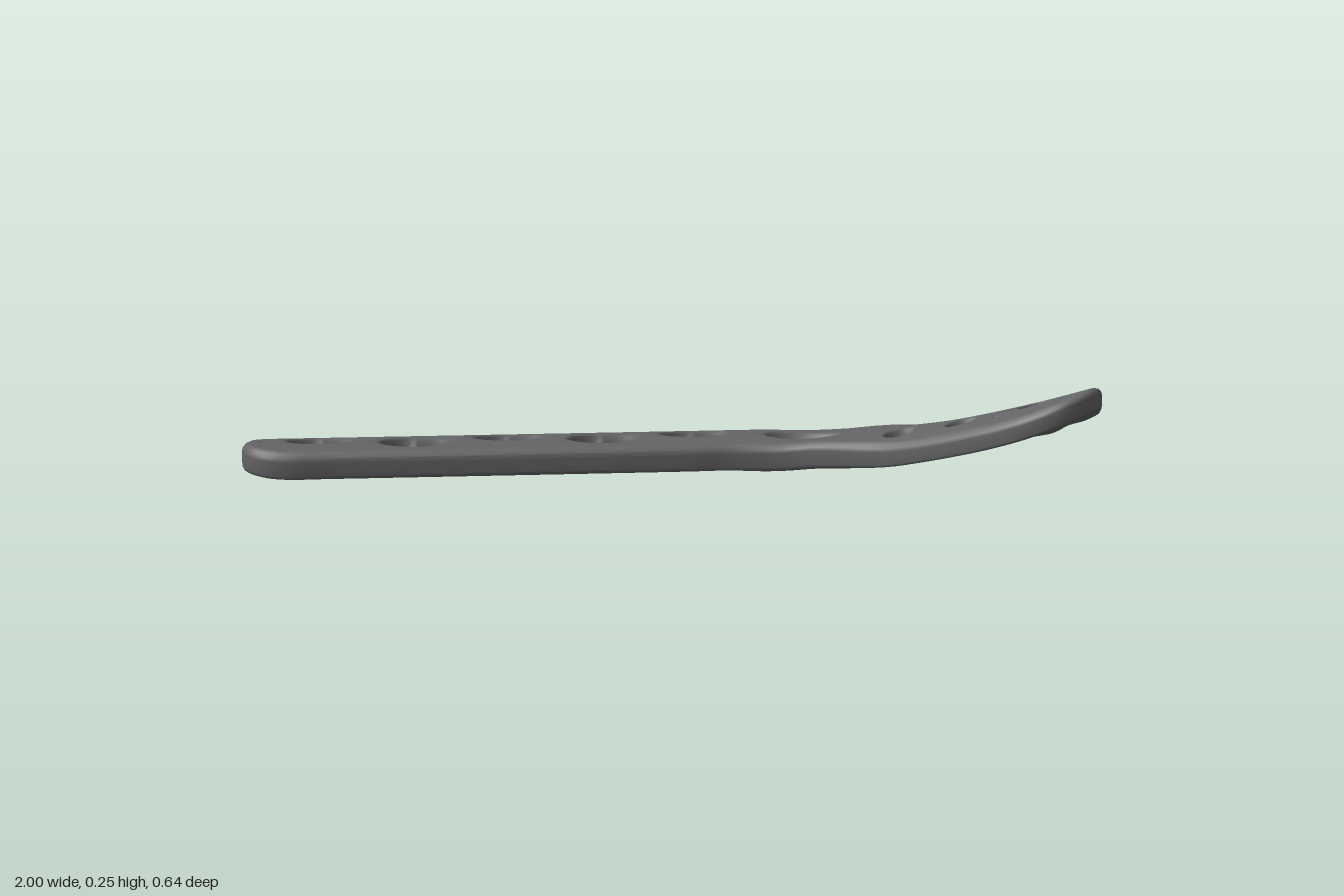
import * as THREE from 'three';
import { mergeVertices } from 'three/addons/utils/BufferGeometryUtils.js';

const THICK = 0.066;
const V3 = (x, y, z) => new THREE.Vector3(x, y, z);
const { lerp, smoothstep } = THREE.MathUtils;

// Plan outline of the plate as x, z pairs: straight shaft, then the flared head
const PLAN = [
  [-1, -0.215], [-0.985, -0.27], [-0.945, -0.305], [-0.89, -0.32], [-0.8, -0.32], [0.1, -0.32], [0.19, -0.32],
  [0.28, -0.31], [0.36, -0.296], [0.43, -0.3], [0.48, -0.29], [0.57, -0.253], [0.67, -0.21], [0.8, -0.168],
  [0.853, -0.125], [0.885, -0.07], [0.935, -0.03], [0.958, 0.04], [0.985, 0.07], [1, 0.12], [0.985, 0.19],
  [0.955, 0.26], [0.92, 0.3], [0.86, 0.318], [0.79, 0.3], [0.72, 0.255], [0.64, 0.185], [0.56, 0.11],
  [0.48, 0.035], [0.4, -0.025], [0.32, -0.075], [0.25, -0.1], [0.16, -0.115], [0.07, -0.115],
  [-0.8, -0.115], [-0.89, -0.115], [-0.945, -0.13], [-0.985, -0.165],
];

// Radius of each hole style as a function of angle
const circle = r => () => r;
const oval = (a, b, n = 2) => t =>
  ((Math.abs(Math.cos(t)) / a) ** n + (Math.abs(Math.sin(t)) / b) ** n) ** (-1 / n);
const doubleRound = (d, r) => t => d * Math.abs(Math.cos(t)) + Math.sqrt(r * r - (d * Math.sin(t)) ** 2);

// A hole is a stack of rings from the underside up to its countersunk mouth
function holeRings({ x, z, inner, outer, turn = 0, slant = 0 }) {
  const stack = [[0, 0, 0.004], [0.005, 0, 0], [0.026, 0, 0], [0.042, 0.62, 0], [0.06, 0.95, 0], [THICK, 1, 0.005]];
  return stack.map(([y, mix, grow]) => {
    const ring = [];
    for (let i = 0; i < 36; i++) {
      const t = (i / 36) * Math.PI * 2;
      const r = lerp(inner(t), outer(t), mix) + grow;
      ring.push(V3(x - slant * (1 - y / THICK) + r * Math.cos(t + turn), y, z + r * Math.sin(t + turn)));
    }
    return ring;
  });
}

// Rounded rim: the outline inset by a small amount at several heights
function rimRings() {
  const curve = new THREE.CatmullRomCurve3(PLAN.map(([x, z]) => V3(x, 0, z)).reverse(), true, 'centripetal');
  const pts = curve.getPoints(PLAN.length * 4).slice(0, -1);
  const n = pts.length;
  const profile = [[0.012, 0], [0.004, 0.004], [0, 0.012], [0, 0.045], [0.002, 0.054], [0.008, 0.062], [0.018, THICK]];
  return profile.map(([inset, y]) => pts.map((p, i) => {
    const t = pts[(i + 1) % n].clone().sub(pts[(i + n - 1) % n]).normalize();
    return V3(p.x + t.z * inset, y, p.z - t.x * inset);
  }));
}

function addWall(tris, rings) {
  for (let k = 0; k < rings.length - 1; k++) {
    const lo = rings[k], hi = rings[k + 1];
    lo.forEach((a, i) => {
      const j = (i + 1) % lo.length;
      tris.push([a, lo[j], hi[j]], [a, hi[j], hi[i]]);
    });
  }
}

// Flat face between the rim and the hole mouths, facing up (1) or down (-1)
function addFace(tris, rim, holes, side) {
  const flat = ring => ring.map(p => new THREE.Vector2(p.x, p.z));
  const all = [rim, ...holes].flat();
  for (const face of THREE.ShapeUtils.triangulateShape(flat(rim), holes.map(flat))) {
    const [a, b, c] = face.map(i => all[i]);
    const up = (b.z - a.z) * (c.x - a.x) - (b.x - a.x) * (c.z - a.z);
    tris.push(up * side > 0 ? [a, b, c] : [a, c, b]);
  }
}

// Halve long edges so that the plate can bend smoothly
function refine(tris, limit) {
  const done = [], todo = [...tris];
  while (todo.length) {
    const [a, b, c] = todo.pop();
    const ab = a.distanceTo(b), bc = b.distanceTo(c), ca = c.distanceTo(a);
    const longest = Math.max(ab, bc, ca);
    if (longest <= limit) { done.push([a, b, c]); continue; }
    const [p, q, r] = longest === ab ? [a, b, c] : longest === bc ? [b, c, a] : [c, a, b];
    const m = p.clone().add(q).multiplyScalar(0.5);
    todo.push([p, m, r], [m, q, r]);
  }
  return done;
}

// Shaft is slightly arched across its width; head climbs along its axis and is domed across it
function bend(p) {
  const along = (p.x - 0.4) * 0.75 + (p.z + 0.15) * 0.66;
  const across = (p.z + 0.15) * 0.75 - (p.x - 0.4) * 0.66;
  const s = along + 0.05;
  const run = (s + Math.hypot(s, 0.06)) / 2;
  const climb = 0.19 * run + 0.114 * run * run;
  const dome = (across + 0.07) ** 2 * smoothstep(along, 0, 0.25);
  const w = (p.z + 0.2175) / 0.1025;
  const arch = 0.012 * Math.max(0, 1 - w * w) * (1 - smoothstep(p.x, 0.2, 0.5));
  const thin = lerp(1, 0.85, smoothstep(along, 0, 0.35));
  return [p.x, p.y * thin + climb - dome + arch, p.z];
}

export function createModel() {
  const holes = [];
  // Staggered double holes along the shaft
  for (let i = 0; i < 5; i++) {
    holes.push({ x: -0.815 + i * 0.2255, z: i % 2 ? -0.2 : -0.235, inner: doubleRound(0.03, 0.038), outer: oval(0.085, 0.047) });
  }
  // Slot at the neck
  holes.push({ x: 0.35, z: -0.185, inner: oval(0.079, 0.025, 4), outer: oval(0.095, 0.045), turn: 0.22 });
  // Round holes in the head
  for (const [x, z] of [[0.64, -0.143], [0.77, -0.08], [0.56, -0.015], [0.69, 0.075], [0.86, 0.05], [0.84, 0.17]]) {
    holes.push({ x, z, inner: circle(0.036), outer: circle(0.043) });
  }
  // Tiny slanted pin holes
  for (const [x, z] of [[-0.95, -0.23], [0.85, -0.04], [0.9, 0.12], [0.74, 0.175]]) {
    holes.push({ x, z, inner: circle(0.006), outer: circle(0.006), slant: 0.02 });
  }

  const stacks = holes.map(holeRings);
  const rim = rimRings();
  const tris = [];
  addWall(tris, rim);
  stacks.forEach(s => addWall(tris, s));
  addFace(tris, rim[0], stacks.map(s => s[0]), -1);
  addFace(tris, rim[rim.length - 1], stacks.map(s => s[s.length - 1]), 1);

  const positions = refine(tris, 0.05).flat().flatMap(bend);
  let geometry = new THREE.BufferGeometry();
  geometry.setAttribute('position', new THREE.Float32BufferAttribute(positions, 3));
  geometry = mergeVertices(geometry, 1e-5);
  geometry.computeVertexNormals();

  const darkMetal = new THREE.MeshStandardMaterial({ color: 0x646466 });
  darkMetal.name = 'darkMetal';
  const plate = new THREE.Mesh(geometry, darkMetal);
  plate.name = 'perforatedPlate';

  const group = new THREE.Group();
  group.name = 'curvedFixationPlate';
  group.add(plate);
  return group;
}
